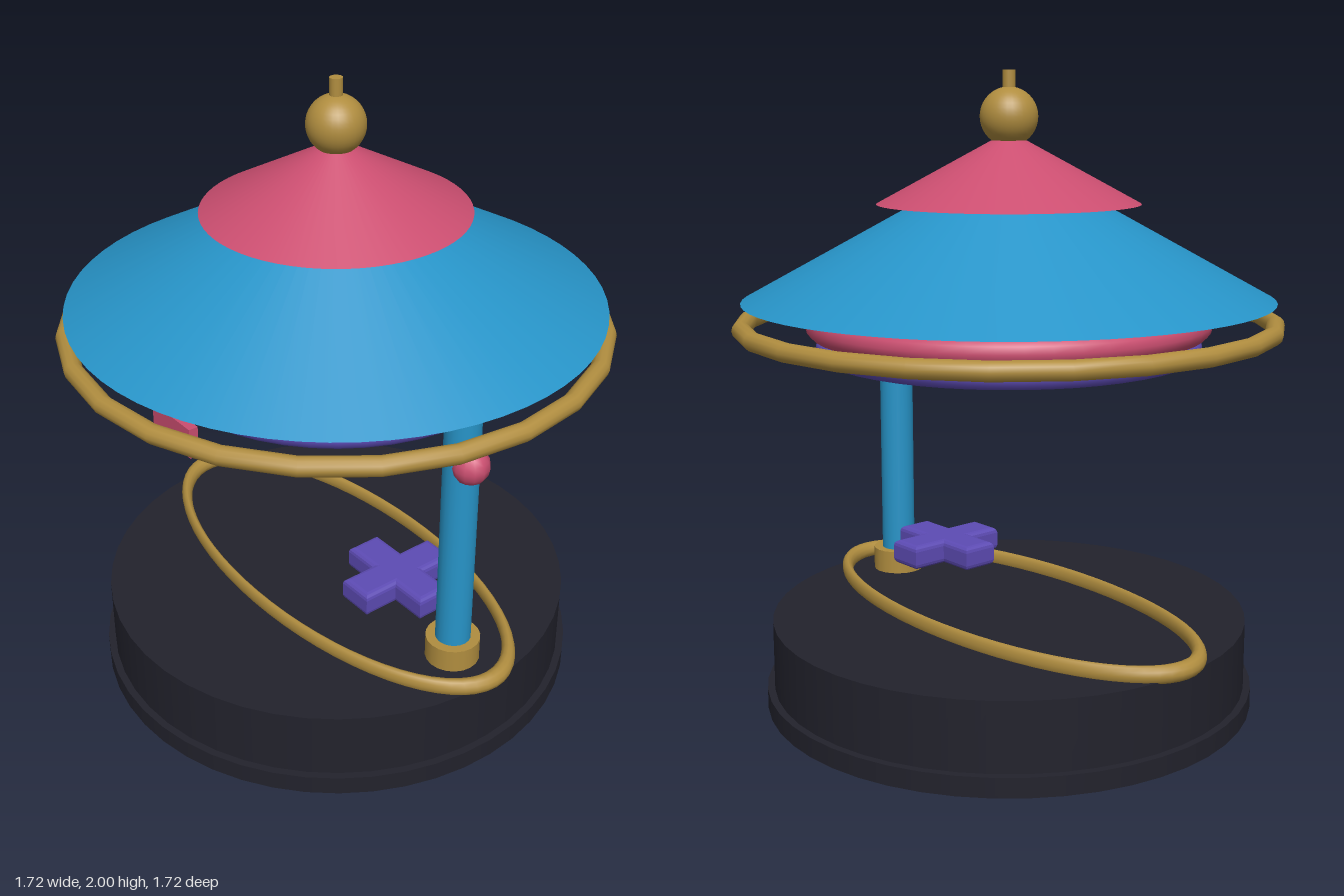
import * as THREE from 'three';

const material = (name, color) => {
  const m = new THREE.MeshStandardMaterial({ color });
  m.name = name;
  return m;
};

export function createModel() {
  const group = new THREE.Group();
  const blue = material('blue', 0x2794c8);
  const pink = material('pink', 0xcb4e70);
  const gold = material('gold', 0xb08d3f);
  const purple = material('purple', 0x5d4bb4);
  const dark = material('charcoal', 0x22222c);

  const add = (name, geometry, mat, x, y, z) => {
    const mesh = new THREE.Mesh(geometry, mat);
    mesh.name = name;
    mesh.position.set(x, y, z);
    group.add(mesh);
    return mesh;
  };
  // Upright cylinder given by its bottom and top heights
  const drum = (name, r, y0, y1, mat, x = 0, sides = 48) =>
    add(name, new THREE.CylinderGeometry(r, r, y1 - y0, sides), mat, x, (y0 + y1) / 2, 0);
  // Horizontal ring
  const ring = (name, r, tube, y, mat, sides = 48) =>
    add(name, new THREE.TorusGeometry(r, tube, 12, sides).rotateX(Math.PI / 2), mat, 0, y, 0);

  // Base
  drum('baseFoot', 0.785, 0, 0.062, dark);
  drum('baseDrum', 0.762, 0.062, 0.28, dark);

  // Oval track on the base
  ring('ovalTrack', 0.77, 0.028, 0.298, gold, 64).scale.z = 0.432;

  // Post with collar and knob
  drum('postCollar', 0.086, 0.28, 0.357, gold, 0.59, 20);
  drum('post', 0.056, 0.3, 1.2, blue, 0.59, 20);
  add('postKnob', new THREE.SphereGeometry(0.059, 12, 8), pink, 0.629, 1.008, 0);

  // Cross-shaped piece lying flat above the base
  const bevel = 0.018;
  const a = 0.06 - bevel, b = 0.178 - bevel;
  const cross = new THREE.Shape([
    [-a, -b], [a, -b], [a, -a], [b, -a], [b, a], [a, a],
    [a, b], [-a, b], [-a, a], [-b, a], [-b, -a], [-a, -a],
  ].map(([x, y]) => new THREE.Vector2(x, y)));
  const crossGeometry = new THREE.ExtrudeGeometry(cross, {
    depth: 0.08 - 2 * bevel, bevelEnabled: true,
    bevelThickness: bevel, bevelSize: bevel, bevelSegments: 3,
  });
  crossGeometry.center().rotateX(-Math.PI / 2);
  add('cross', crossGeometry, purple, 0.322, 0.42, 0);

  // Hanging sign plate at the front
  add('signPlate', new THREE.BoxGeometry(0.197, 0.098, 0.03), pink, 0, 1.055, 0.6);

  // Rings under the roof
  ring('lowerRing', 0.57, 0.035, 1.155, purple);
  ring('middleRing', 0.592, 0.045, 1.23, pink);
  ring('outerRing', 0.83, 0.029, 1.222, gold, 24);

  // Two-tier roof
  add('roof', new THREE.ConeGeometry(0.83, 0.455, 64), blue, 0, 1.3 + 0.455 / 2, 0);
  add('roofCap', new THREE.ConeGeometry(0.41, 0.222, 64), pink, 0, 1.595 + 0.222 / 2, 0);

  // Finial
  add('finialBall', new THREE.SphereGeometry(0.09, 32, 20), gold, 0, 1.86, 0);
  drum('finialPin', 0.02, 1.9, 2, gold, 0, 16);

  return group;
}
